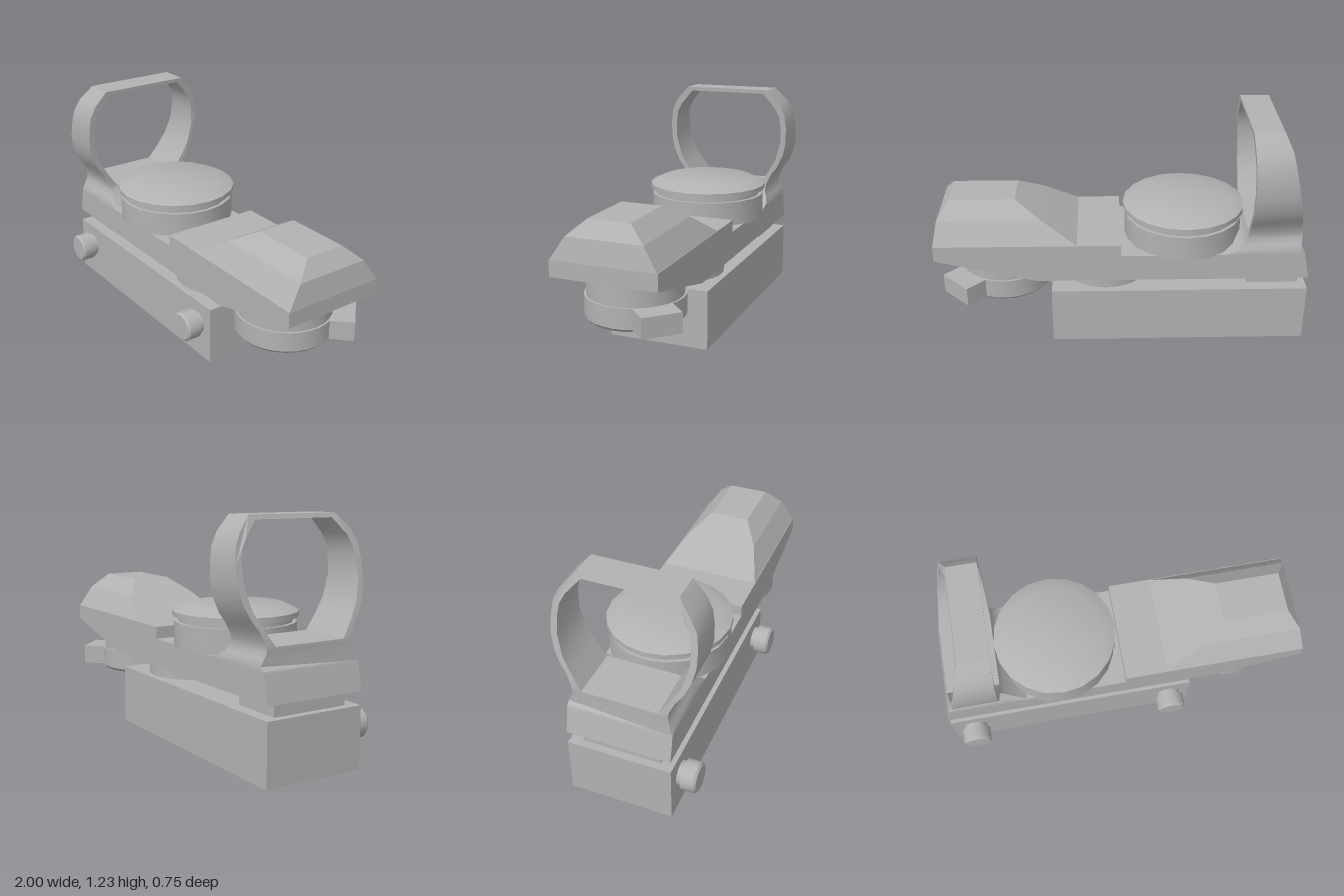
import * as THREE from 'three';
import { toCreasedNormals } from 'three/addons/utils/BufferGeometryUtils.js';
import { ConvexGeometry } from 'three/addons/geometries/ConvexGeometry.js';

const HALF = 0.2775; // half width of the body

// Linear interpolation through [y, value] pairs
function sample(table, y) {
  for (let i = 1; i < table.length; i++) {
    const [y0, v0] = table[i - 1], [y1, v1] = table[i];
    if (y <= y1) return v0 + (v1 - v0) * Math.max(0, (y - y0) / (y1 - y0));
  }
  return table[table.length - 1][1];
}

export function createModel() {
  const model = new THREE.Group();
  model.name = 'reflexSight';
  const grey = new THREE.MeshStandardMaterial({ color: 0xb2b2b2 });
  grey.name = 'grey metal';

  const add = (name, geometry, x = 0, y = 0, z = 0) => {
    const mesh = new THREE.Mesh(geometry, grey);
    mesh.name = name;
    mesh.position.set(x, y, z);
    model.add(mesh);
    return mesh;
  };
  const box = (name, x0, x1, y0, y1, half) =>
    add(name, new THREE.BoxGeometry(x1 - x0, y1 - y0, half * 2), (x0 + x1) / 2, (y0 + y1) / 2);
  const turned = (profile, sides) => toCreasedNormals(
    new THREE.LatheGeometry(profile.map(p => new THREE.Vector2(...p)), sides), 0.5);
  const points = list => list.map(p => new THREE.Vector2(...p));

  // Rail clamp and its spacers
  box('railClamp', -1, 0.385, 0, 0.32, HALF);
  box('rearSpacer', -0.96, -0.68, 0.31, 0.4, 0.21);
  add('pivotDisc', turned([[0, 0.31], [0.243, 0.31], [0.243, 0.4], [0, 0.4]], 32), 0.09);

  // Body: side profile extruded across the width
  const side = new THREE.Shape(points([
    [-1, 0.39], [0.46, 0.39], [1, 0.52], [1, 0.605], [0.01, 0.605], [0.01, 0.54], [-0.968, 0.54],
  ]));
  const body = new THREE.ExtrudeGeometry(side, { depth: HALF * 2, bevelEnabled: false });
  body.translate(0, 0, -HALF);
  add('body', body);

  // Faceted hood: convex hull of three levels [y, half width, front x, back x]
  const hull = [];
  for (const [y, w, x0, x1] of [
    [0.6, HALF, 0.235, 1], [0.72, 0.2, 0.433, 0.98], [0.8, 0.11, 0.57, 0.92],
  ]) {
    for (const s of [-1, 1]) hull.push(new THREE.Vector3(x0, y, s * w), new THREE.Vector3(x1, y, s * w));
  }
  add('hood', new ConvexGeometry(hull));

  // Lens frame with flared foot: half outlines are mirrored, then the ends are slanted by height
  const mirror = half => points([...half, ...half.map(([z, y]) => [-z, y]).reverse()]);
  const frame = new THREE.Shape(mirror([
    [HALF, 0.535], [HALF, 0.56], [0.262, 0.59], [0.248, 0.625], [0.252, 0.66], [0.28, 0.72], [0.318, 0.77],
    [0.35, 0.84], [0.3675, 0.92], [0.3675, 1.01], [0.357, 1.09], [0.325, 1.155], [0.255, 1.232],
  ]));
  frame.holes.push(new THREE.Path(mirror([
    [0.2, 0.645], [0.262, 0.735], [0.305, 0.81], [0.335, 0.92],
    [0.335, 1.01], [0.325, 1.075], [0.295, 1.13], [0.225, 1.21],
  ])));
  const rearX = [[0.535, -0.97], [0.56, -0.945], [0.645, -0.953], [1.155, -0.842], [1.232, -0.807]];
  const frontX = [[0.535, -0.53], [0.56, -0.6], [0.59, -0.64], [0.645, -0.67],
    [0.92, -0.668], [1.09, -0.66], [1.232, -0.65]];
  const frameGeometry = new THREE.ExtrudeGeometry(frame, { depth: 1, bevelEnabled: false });
  const pos = frameGeometry.attributes.position;
  for (let i = 0; i < pos.count; i++) {
    const z = -pos.getX(i), y = pos.getY(i), t = pos.getZ(i);
    const back = sample(rearX, y), front = sample(frontX, y);
    pos.setXYZ(i, back + (front - back) * t, y, z);
  }
  frameGeometry.deleteAttribute('normal');
  add('lensFrame', toCreasedNormals(frameGeometry, 0.5));

  // Adjustment turret with overhanging cap
  add('turret', turned([
    [0, 0.535], [0.32, 0.535], [0.32, 0.67], [0.3, 0.67], [0.3, 0.697],
    [0.33, 0.697], [0.33, 0.725], [0.26, 0.757], [0, 0.757],
  ], 20), -0.335);

  // Brightness dial under the hood, with its thumb tab
  add('dial', turned([
    [0, 0.255], [0.243, 0.255], [0.256, 0.27], [0.256, 0.375],
    [0.245, 0.375], [0.245, 0.49], [0, 0.49],
  ], 28), 0.65);
  const tab = add('dialTab', new THREE.BoxGeometry(0.17, 0.105, 0.205), 0.844, 0.3225, -0.194);
  tab.rotation.y = Math.PI / 4;

  // Clamp screws
  for (const x of [-0.873, 0.265]) {
    const screw = add('clampScrew', turned([
      [0, -0.01], [0.064, -0.01], [0.064, 0.025], [0.08, 0.025],
      [0.08, 0.093], [0.07, 0.105], [0, 0.105],
    ], 24), x, 0.195, HALF);
    screw.rotation.x = Math.PI / 2;
  }

  model.position.z = -0.0075;
  return model;
}
